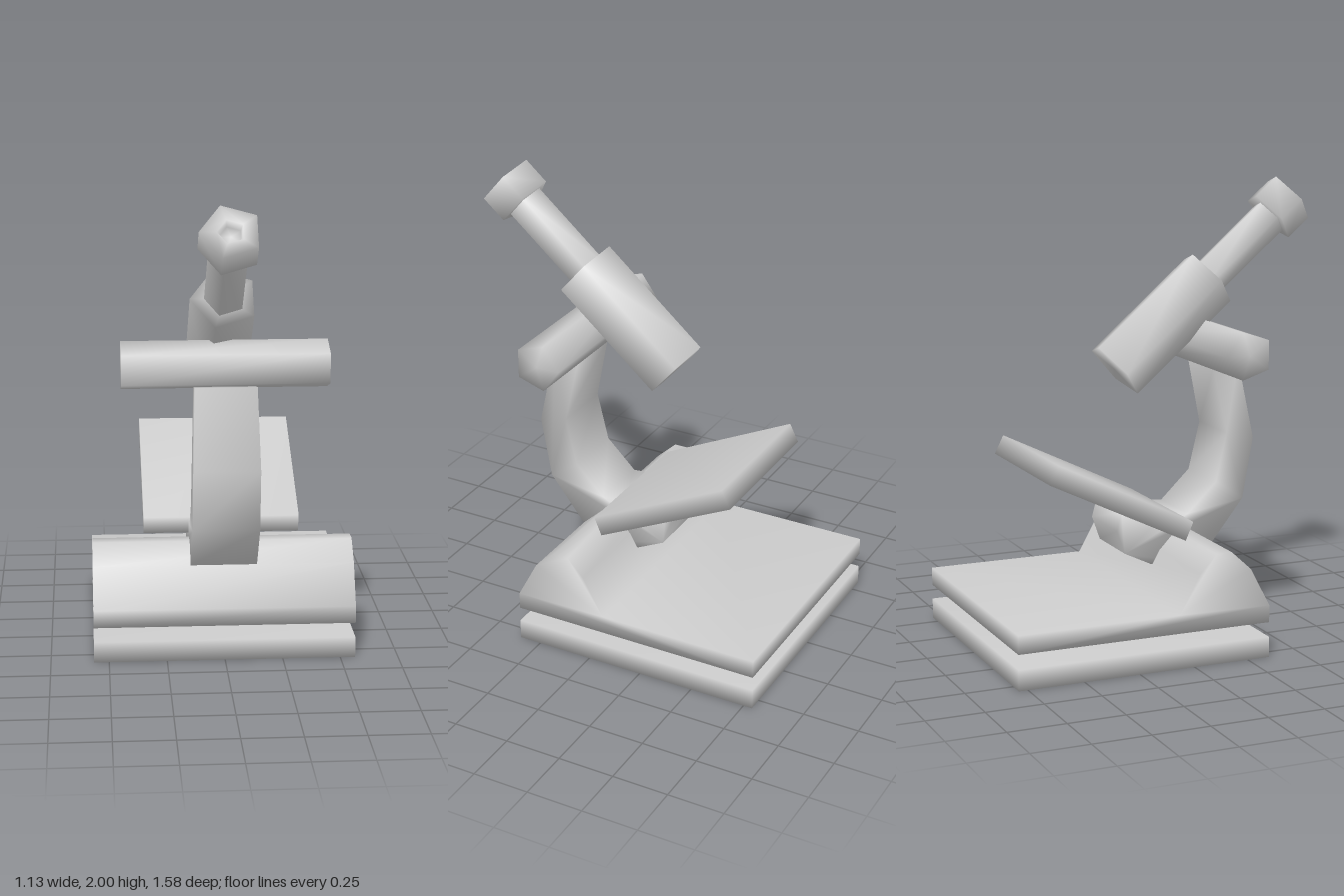
import * as THREE from 'three';
import { mergeVertices } from 'three/addons/utils/BufferGeometryUtils.js';

const material = new THREE.MeshStandardMaterial({ color: 0xcccccc });

// Weld corners so shading runs softly across the low-poly edges
function soften(geometry) {
  geometry.deleteAttribute('uv');
  geometry.deleteAttribute('normal');
  const welded = mergeVertices(geometry, 1e-4);
  welded.computeVertexNormals();
  return welded;
}

function part(name, geometry) {
  const mesh = new THREE.Mesh(soften(geometry), material);
  mesh.name = name;
  return mesh;
}

// Side profile given as [z, y] points, extruded across x and centred
function extrudeAcross(profile, width) {
  const shape = new THREE.Shape(profile.map(([z, y]) => new THREE.Vector2(-z, y)));
  const geometry = new THREE.ExtrudeGeometry(shape, { depth: width, bevelEnabled: false });
  return geometry.translate(0, 0, -width / 2).rotateY(Math.PI / 2);
}

// Five-sided turned form from [radius, height] points
function pentagonal(profile, phiStart = -Math.PI / 2) {
  return new THREE.LatheGeometry(profile.map(([r, y]) => new THREE.Vector2(r, y)), 5, phiStart);
}

const pentagonPrism = (radius, y0, y1, phiStart) =>
  pentagonal([[0, y0], [radius, y0], [radius, y1], [0, y1]], phiStart);

export function createModel() {
  const model = new THREE.Group();
  model.name = 'microscope';

  // Foot plate and the base with its raised hump
  const footPlate = part('footPlate', new THREE.BoxGeometry(1.13, 0.09, 1.14));
  footPlate.position.set(0, 0.045, -0.22);
  model.add(footPlate);
  model.add(part('base', extrudeAcross([
    [0.35, 0.155], [0.35, 0.23], [0.26, 0.4], [0.17, 0.483], [0.1, 0.483],
    [0.025, 0.405], [-0.07, 0.235], [-0.79, 0.235], [-0.79, 0.155],
  ], 1.13)));

  // Curved arm, slightly narrower towards the top
  const arm = extrudeAcross([
    [0.405, 1.215], [0.475, 0.87], [0.425, 0.6], [0.27, 0.405], [0.13, 0.34],
    [-0.015, 0.345], [-0.14, 0.405], [-0.177, 0.51], [-0.155, 0.59],
    [0.05, 0.565], [0.16, 0.555], [0.295, 0.685], [0.347, 0.9], [0.285, 1.195],
  ], 0.286);
  const p = arm.attributes.position;
  for (let i = 0; i < p.count; i++) {
    p.setX(i, p.getX(i) * (1 - 0.08 * THREE.MathUtils.smoothstep(p.getY(i), 0.8, 1.2)));
  }
  model.add(part('arm', arm));

  // Tilted specimen stage
  model.add(part('stage', extrudeAcross(
    [[0.095, 0.57], [0.06, 0.49], [-0.56, 0.79], [-0.52, 0.87]], 0.68)));

  // Focus bar running from side to side
  const focusBar = part('focusBar', pentagonPrism(0.108, -0.437, 0.437, Math.PI).rotateZ(Math.PI / 2));
  focusBar.position.set(0, 1.29, 0.311);
  model.add(focusBar);

  // Slanted optical assembly built along its own axis
  const optics = new THREE.Group();
  optics.name = 'optics';
  optics.position.set(0, 1.195, -0.128);
  optics.rotation.x = 0.862;
  optics.add(part('bodyTube', pentagonPrism(0.147, 0, 0.584)));
  optics.add(part('drawTube', pentagonPrism(0.087, 0.5, 1.0)));
  optics.add(part('eyepiece', pentagonal([
    [0, 0.974], [0.13, 0.974], [0.13, 1.1], [0.058, 1.1], [0.05, 1.06], [0, 1.06],
  ])));
  model.add(optics);

  return model;
}
